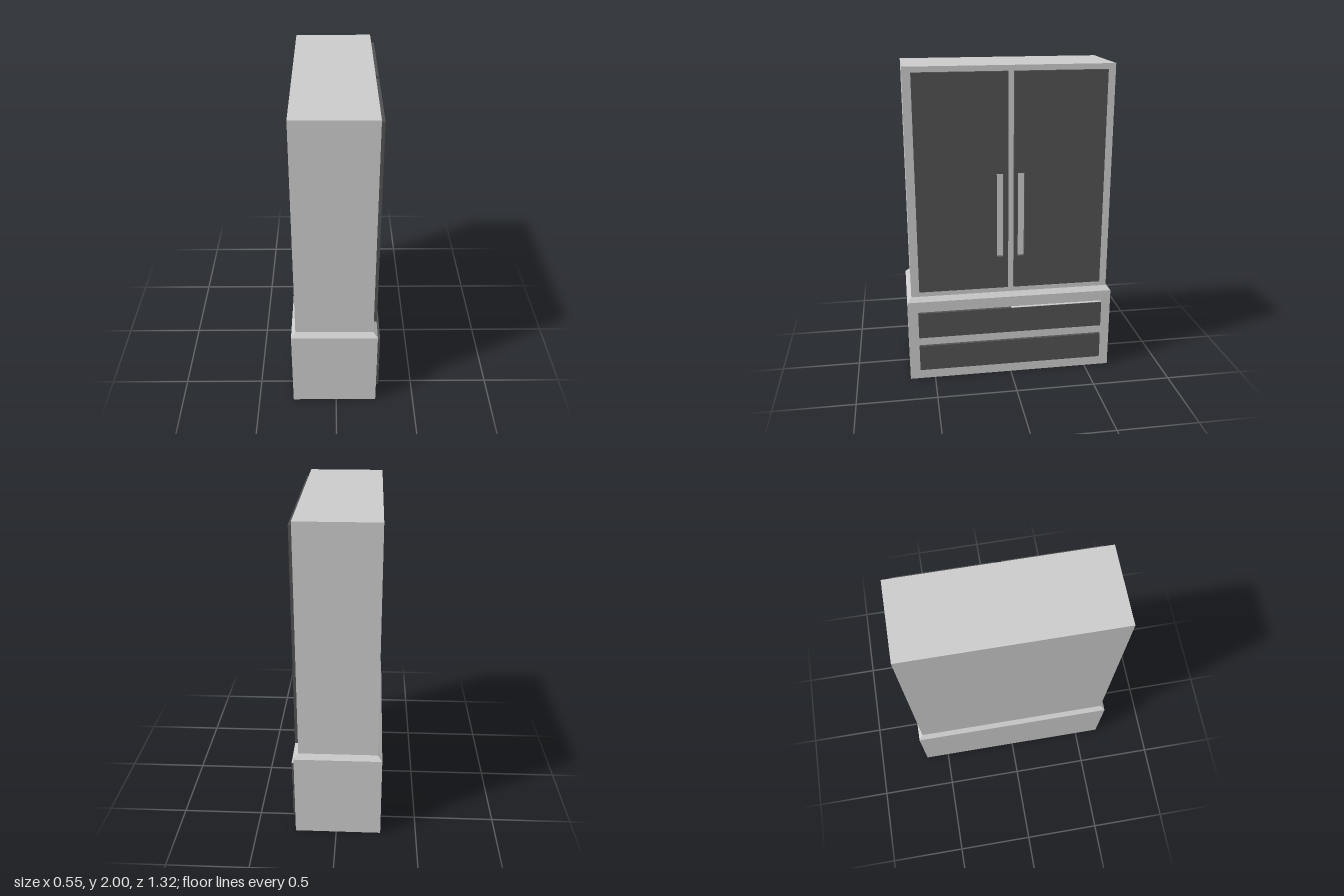
import * as THREE from 'three';

const grey = new THREE.MeshStandardMaterial({ color: 0xcccccc, flatShading: true });
const dark = new THREE.MeshStandardMaterial({ color: 0x525252, flatShading: true });

function addMesh(parent, name, geometry, material) {
  const mesh = new THREE.Mesh(geometry, material);
  mesh.name = name;
  parent.add(mesh);
  return mesh;
}

// Box given by its lower and upper limits on each axis
function boxBetween(x0, x1, y0, y1, z0, z1) {
  return new THREE.BoxGeometry(x1 - x0, y1 - y0, z1 - z0)
    .translate((x0 + x1) / 2, (y0 + y1) / 2, (z0 + z1) / 2);
}

// Counter-clockwise rectangle
function rectangle(target, u0, u1, v0, v1) {
  return target.moveTo(u0, v0).lineTo(u1, v0).lineTo(u1, v1).lineTo(u0, v1).closePath();
}

// Door panel with a grip slot cut through, facing +x
function doorGeometry(z0, z1, slotZ0, slotZ1) {
  const shape = rectangle(new THREE.Shape(), -z1, -z0, 0.607, 1.967);
  shape.holes.push(rectangle(new THREE.Path(), -slotZ1, -slotZ0, 0.817, 1.355));
  return new THREE.ExtrudeGeometry(shape, { depth: 0.023, bevelEnabled: false })
    .rotateY(Math.PI / 2)
    .translate(0.229, 0, 0);
}

export function createModel() {
  const model = new THREE.Group();
  model.name = 'cabinet';

  // Carcass: wide base, sloping ledge, tall upper body
  addMesh(model, 'base', boxBetween(-0.278, 0.256, 0, 0.54, -0.66, 0.66), grey);
  const ledge = boxBetween(-0.278, 0.256, 0.54, 0.568, -0.66, 0.66);
  const p = ledge.attributes.position;
  for (let i = 0; i < p.count; i++) {
    if (p.getY(i) < 0.55) continue;
    p.setX(i, p.getX(i) - Math.sign(p.getX(i)) * 0.027);
    p.setZ(i, p.getZ(i) - Math.sign(p.getZ(i)) * 0.027);
  }
  ledge.computeVertexNormals();
  addMesh(model, 'ledge', ledge, grey);
  addMesh(model, 'upperBody', boxBetween(-0.251, 0.229, 0.568, 2, -0.633, 0.633), grey);

  // Pair of doors with slotted grips
  addMesh(model, 'leftDoor', doorGeometry(-0.582, -0.018, -0.084, -0.042), dark);
  addMesh(model, 'rightDoor', doorGeometry(0.018, 0.582, 0.047, 0.089), dark);

  // Two wide drawers
  for (const [name, y] of [['lowerDrawer', 0.07], ['upperDrawer', 0.3]]) {
    addMesh(model, name, boxBetween(0.256, 0.276, y, y + 0.17, -0.595, 0.595), dark);
  }
  // Pale strip along half of the upper drawer's top edge
  addMesh(model, 'drawerTopStrip', boxBetween(0.256, 0.276, 0.47, 0.472, -0.595, 0), grey);

  return model;
}
